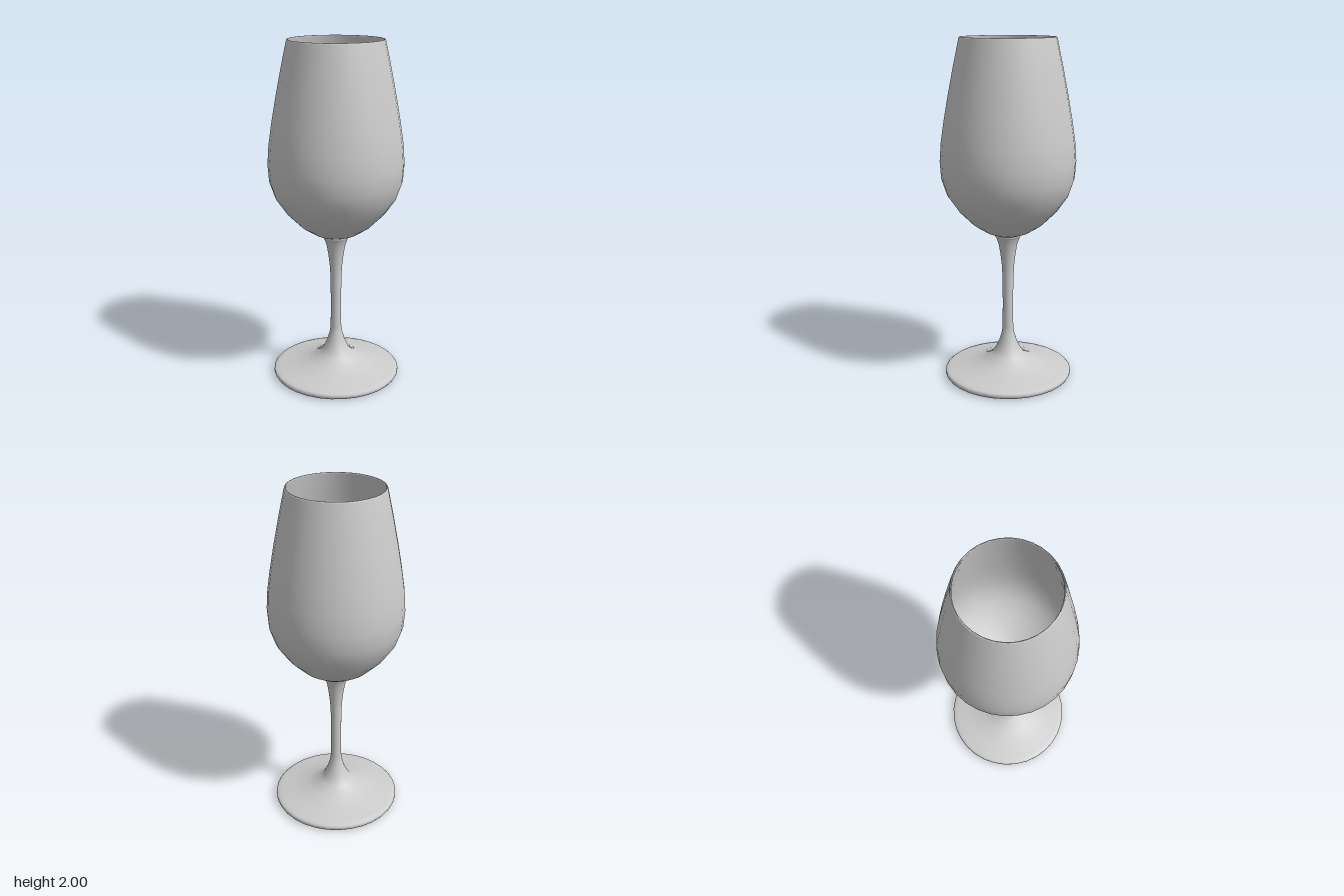
import * as THREE from 'three';

const SEGMENTS = 32;
const material = new THREE.MeshStandardMaterial({ color: 0xcccccc });

// Revolve a [radius, height] profile around the y axis
function lathe(name, profile) {
  const points = profile.map(([r, y]) => new THREE.Vector2(r, y));
  const mesh = new THREE.Mesh(new THREE.LatheGeometry(points, SEGMENTS), material);
  mesh.name = name;
  return mesh;
}

export function createModel() {
  const glass = new THREE.Group();
  glass.name = 'wineGlass';

  // Bowl: outer wall upward, over the rounded lip, inner wall back down
  const outer = [
    [0.075, 0.872], [0.127, 0.892], [0.205, 0.942], [0.288, 1.025], [0.35, 1.115],
    [0.382, 1.21], [0.389, 1.31], [0.381, 1.42], [0.363, 1.54], [0.338, 1.68],
    [0.304, 1.85], [0.273, 1.992],
  ];
  const lip = [[0.27, 1.999], [0.267, 2], [0.264, 1.999]];
  const wall = 0.01;
  const inner = outer.slice().reverse().map(([r, y]) => [r - wall, y < 1.1 ? y + wall : y]);
  glass.add(lathe('bowl', [[0, 0.868], ...outer, ...lip, ...inner, [0, 0.876]]));

  // Stem: small collar under the bowl, slim shaft, flare into the foot
  glass.add(lathe('stemAndFoot', [
    [0.36, 0], [0.372, 0.006], [0.378, 0.016], [0.378, 0.028], [0.37, 0.036],
    [0.345, 0.042], [0.26, 0.058], [0.17, 0.083], [0.1, 0.122], [0.074, 0.158],
    [0.053, 0.205], [0.037, 0.26], [0.032, 0.3], [0.031, 0.45], [0.032, 0.6],
    [0.036, 0.68], [0.044, 0.75], [0.054, 0.81], [0.067, 0.85], [0.073, 0.86],
    [0.077, 0.868], [0.075, 0.874],
  ]));

  // Flat underside of the foot
  const base = new THREE.Mesh(new THREE.CircleGeometry(0.36, SEGMENTS), material);
  base.name = 'footUnderside';
  base.rotation.x = Math.PI / 2;
  glass.add(base);

  return glass;
}
